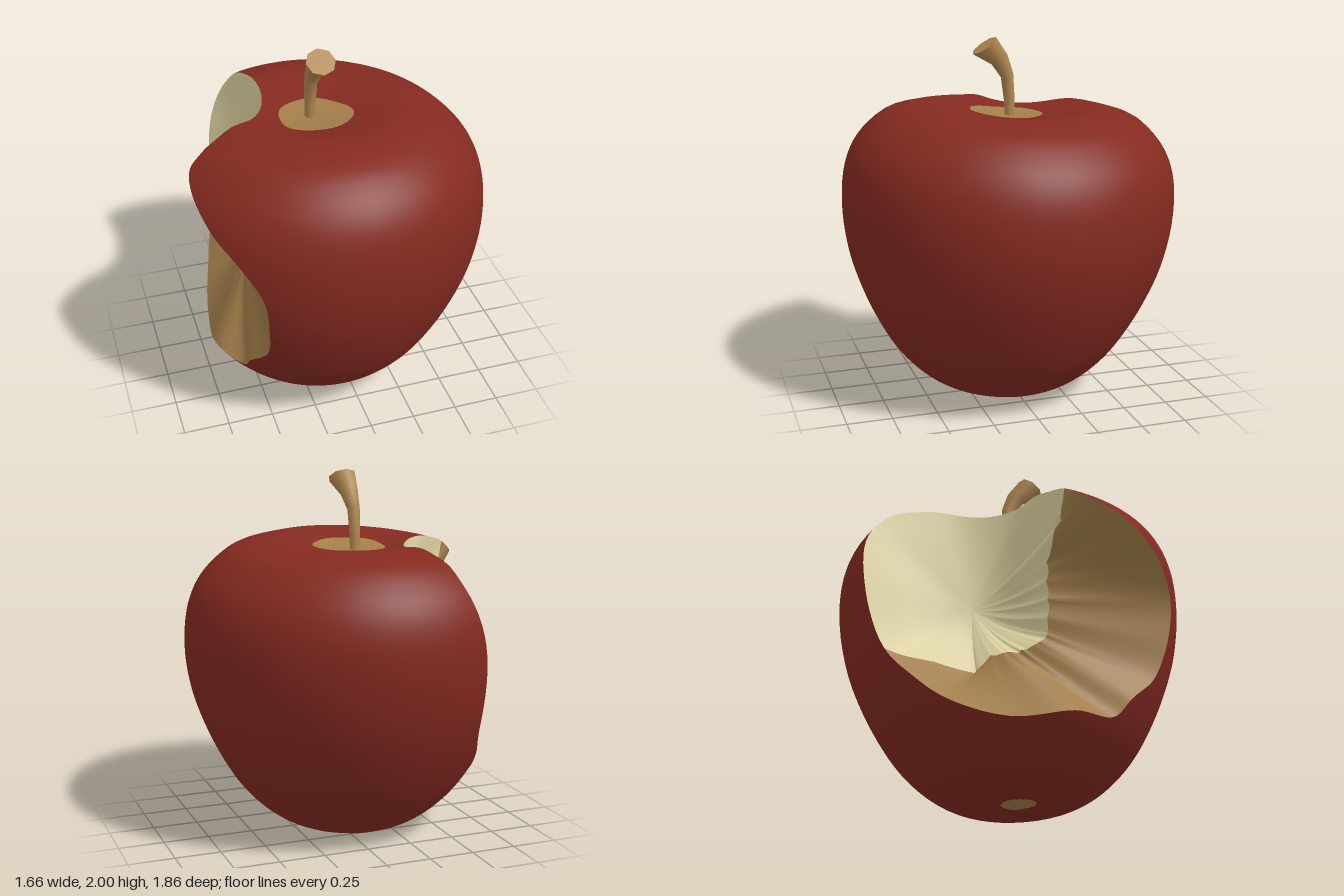
import * as THREE from 'three';
import { toCreasedNormals } from 'three/addons/utils/BufferGeometryUtils.js';

const TILT = 0.05;                                   // the fruit leans back a little
const CORE = new THREE.Vector3(-0.09, 0.85, 0);      // centre of the fruit

// Outline from the top dimple to the base: radius, height above the core
const outline = new THREE.SplineCurve([
  [0, 0.715], [0.2, 0.735], [0.43, 0.768], [0.58, 0.742], [0.7, 0.695], [0.835, 0.56], [0.905, 0.39],
  [0.92, 0.17], [0.885, -0.05], [0.81, -0.26], [0.715, -0.45], [0.615, -0.6],
  [0.49, -0.725], [0.36, -0.805], [0.24, -0.835], [0.09, -0.81], [0, -0.8],
].map(p => new THREE.Vector2(...p))).getPoints(240)
  .map(p => ({ angle: Math.atan2(Math.max(p.x, 0), p.y), dist: p.length() }));

// Point on the skin in a given direction from the core, with raised front and back shoulders
function onSkin(dir, scale = 1) {
  const a = Math.acos(THREE.MathUtils.clamp(dir.y, -1, 1));
  let k = 1;
  while (k < outline.length - 1 && outline[k].angle < a) k++;
  const p = outline[k - 1], q = outline[k];
  const f = THREE.MathUtils.clamp((a - p.angle) / (q.angle - p.angle || 1), 0, 1);
  const shoulder = 1 + 0.13 * (Math.max(0, dir.y) * dir.z) ** 2;
  return dir.clone().multiplyScalar(scale * shoulder * THREE.MathUtils.lerp(p.dist, q.dist, f));
}

// Surface grid, closed around u
function grid(nu, nv, point) {
  const pos = [], index = [];
  for (let j = 0; j <= nv; j++)
    for (let i = 0; i < nu; i++) pos.push(...point(i / nu, j / nv).toArray());
  for (let j = 0; j < nv; j++)
    for (let i = 0; i < nu; i++) {
      const a = j * nu + i, b = j * nu + (i + 1) % nu;
      index.push(a, b, b + nu, a, b + nu, a + nu);
    }
  const g = new THREE.BufferGeometry();
  g.setAttribute('position', new THREE.Float32BufferAttribute(pos, 3));
  g.setIndex(index);
  g.computeVertexNormals();
  return g;
}

// Edge of the bite, each point with the ridge point facing it where browned flesh lies between
const bite = [
  { rim: [-0.83, 1.52, 0.22], ridge: [-0.69, 1.39, 0.16] },
  { rim: [-0.8, 1.35, 0.53], ridge: [-0.59, 1.2, 0.1] },
  { rim: [-0.69, 1.2, 0.72], ridge: [-0.57, 1.1, 0.1] },
  { rim: [-0.6, 1.03, 0.79], ridge: [-0.56, 1.0, 0.11] },
  { rim: [-0.56, 0.8, 0.75], ridge: [-0.545, 0.9, 0.11] },
  { rim: [-0.56, 0.6, 0.68], ridge: [-0.53, 0.81, 0.11] },
  { rim: [-0.6, 0.47, 0.51], ridge: [-0.525, 0.76, 0.06] },
  { rim: [-0.62, 0.35, 0.42], ridge: [-0.51, 0.725, -0.02] },
  { rim: [-0.72, 0.33, 0.2], ridge: [-0.48, 0.715, -0.1] },
  { rim: [-0.7, 0.29, -0.12], ridge: [-0.45, 0.71, -0.17] },
  { rim: [-0.65, 0.38, -0.44], ridge: [-0.43, 0.61, -0.24] },
  { rim: [-0.6, 0.5, -0.58], ridge: [-0.47, 0.64, -0.46] },
  { rim: [-0.53, 0.67, -0.71] }, { rim: [-0.5, 1.1, -0.83] }, { rim: [-0.38, 1.46, -0.73] },
  { rim: [-0.31, 1.62, -0.36] }, { rim: [-0.42, 1.6, -0.03] }, { rim: [-0.57, 1.62, 0.06] },
  { rim: [-0.74, 1.57, 0.17] },
];
const X = new THREE.Vector3(1, 0, 0);
const local = (x, y, z) => new THREE.Vector3(x, y, z).sub(CORE).applyAxisAngle(X, TILT);
const rim = new THREE.CatmullRomCurve3(bite.map(b => local(...b.rim)), true);
const pit = local(-0.31, 1.03, -0.25);
const toRidge = bite.map(b => b.ridge
  ? local(...b.ridge).sub(onSkin(local(...b.rim).normalize()))
  : new THREE.Vector3());

// Skin sweeps from the bite edge round to the far side
function skinPoint(u, v) {
  const d = rim.getPoint(u).normalize();
  const rho = THREE.MathUtils.lerp(Math.acos(-d.x), Math.PI - 1e-3, v);
  const side = new THREE.Vector3(0, d.y, d.z).normalize().multiplyScalar(Math.sin(rho));
  return onSkin(side.setX(-Math.cos(rho)).normalize());
}

// Ridge between the two scoops of the bite; it joins the edge at the top and back
function ridgePoint(u) {
  const s = u * bite.length, k = Math.floor(s) % bite.length;
  const offset = toRidge[k].clone().lerp(toRidge[(k + 1) % bite.length], s - Math.floor(s));
  return skinPoint(u, 0).add(offset);
}

// Deep pale scoop, from the pit up to the ridge
function palePoint(u, v) {
  const t = Math.max(v, 1e-3), edge = ridgePoint(u);
  const p = pit.clone().lerp(edge, t);
  return p.setX(THREE.MathUtils.lerp(pit.x, edge.x, t * t));
}

// Shallow browned scoop, from the ridge out to the skin
const brownPoint = (u, v) => ridgePoint(u).lerp(skinPoint(u, 0), v);

// Thin round patch lying on the skin at the top (1) or base (-1), moved by shift in z
function patch(radius, up, shift) {
  return grid(40, 8, (u, v) => {
    const a = u * Math.PI * 2;
    const r = Math.max(v, 1e-3) * radius * (1 + 0.03 * Math.sin(3 * a + 1) + 0.02 * Math.cos(5 * a));
    return onSkin(new THREE.Vector3(r * Math.cos(a), up * 0.74, up * r * Math.sin(a) + shift).normalize(), 1.005);
  });
}

// Bent stem flaring to a slanted cut: x, y, z, radius, lean of the ring
function stemGeometry() {
  const rings = [
    [-0.11, 1.5, -0.03, 0.028, 0], [-0.11, 1.65, -0.027, 0.031, 0.03], [-0.108, 1.79, -0.013, 0.037, 0.25],
    [-0.1, 1.88, 0.032, 0.052, 0.5], [-0.093, 1.96, 0.12, 0.079, 0.6],
  ];
  const g = new THREE.CylinderGeometry(1, 1, 1, 8, rings.length - 1);
  const p = g.attributes.position;
  for (let i = 0; i < p.count; i++) {
    const [x, y, z, r, t] = rings[Math.round((p.getY(i) + 0.5) * (rings.length - 1))];
    const lx = p.getX(i) * r, lz = p.getZ(i) * r;
    p.setXYZ(i, x + lx, y - Math.sin(t) * lz, z + Math.cos(t) * lz);
  }
  return toCreasedNormals(g, 1);
}

export function createModel() {
  const mat = (name, color, side = THREE.FrontSide) => {
    const m = new THREE.MeshStandardMaterial({ color, side });
    m.name = name;
    return m;
  };
  const red = mat('red skin', 0x842a20, THREE.DoubleSide);
  const pale = mat('pale flesh', 0xe0d5a4, THREE.DoubleSide);
  const brown = mat('browned flesh', 0xa47f4b, THREE.DoubleSide);
  const wood = mat('stem wood', 0xb08851);

  const model = new THREE.Group();
  model.name = 'bittenApple';
  const add = (parent, name, geometry, material) => {
    const m = new THREE.Mesh(geometry, material);
    m.name = name;
    parent.add(m);
  };

  const fruit = new THREE.Group();
  fruit.name = 'fruit';
  fruit.position.copy(CORE);
  fruit.rotation.x = -TILT;
  model.add(fruit);

  add(fruit, 'skin', grid(152, 72, skinPoint), red);
  add(fruit, 'paleBite', grid(152, 16, palePoint), pale);
  add(fruit, 'brownBite', grid(152, 12, brownPoint), brown);
  add(fruit, 'topPatch', patch(0.2, 1, 0.035), brown);
  add(fruit, 'basePatch', patch(0.085, -1, 0), brown);
  add(model, 'stem', stemGeometry(), wood);
  return model;
}
